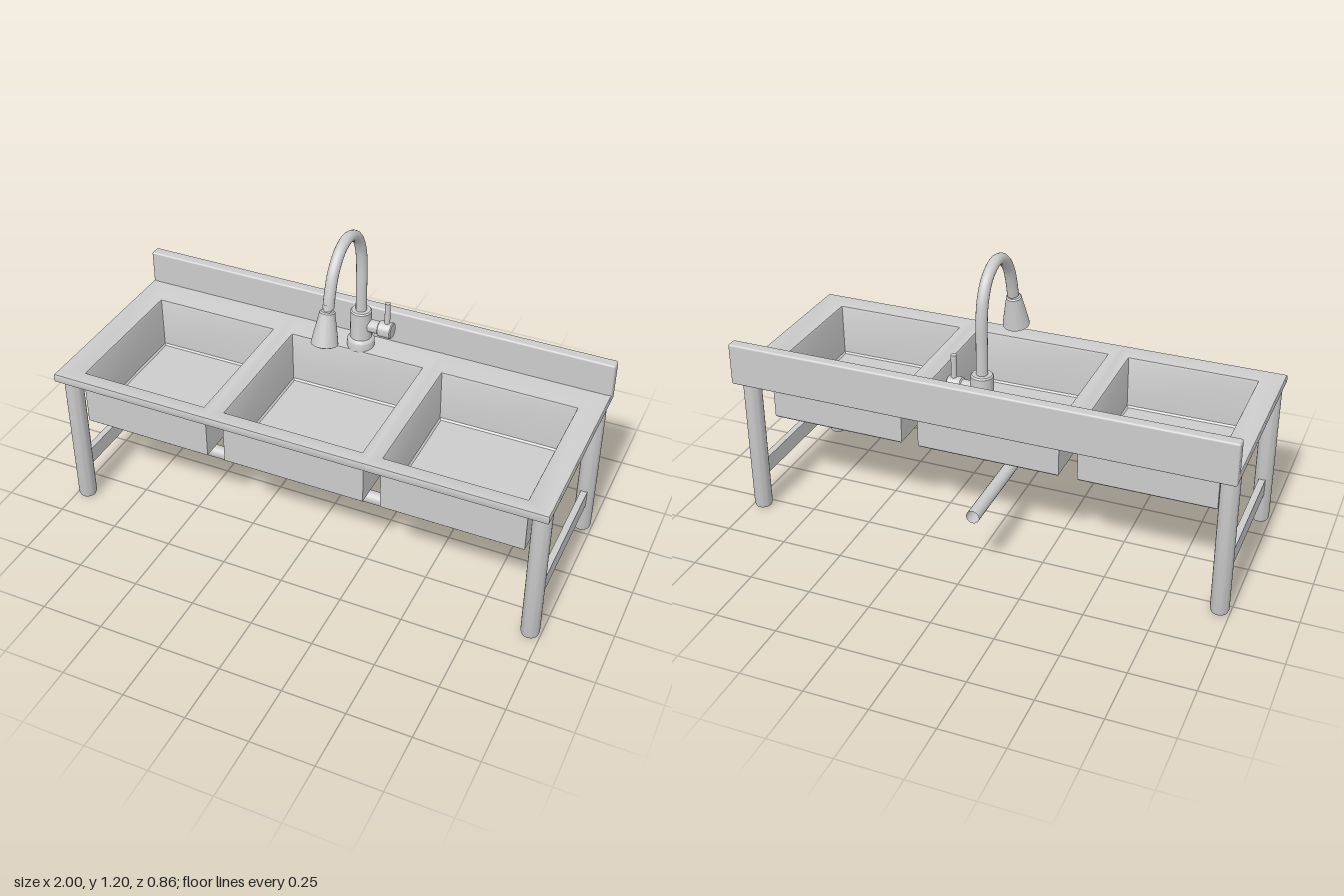
import * as THREE from 'three';
import { toCreasedNormals } from 'three/addons/utils/BufferGeometryUtils.js';
import { RoundedBoxGeometry } from 'three/addons/geometries/RoundedBoxGeometry.js';

const metal = new THREE.MeshStandardMaterial({ color: 0xcccccc });
const metalTwoSided = new THREE.MeshStandardMaterial({ color: 0xcccccc, side: THREE.DoubleSide });
const V = (x, y, z) => new THREE.Vector3(x, y, z);

function add(parent, name, geometry, x = 0, y = 0, z = 0, material = metal) {
  const mesh = new THREE.Mesh(geometry, material);
  mesh.name = name;
  mesh.position.set(x, y, z);
  parent.add(mesh);
  return mesh;
}

// Solid of revolution from [radius, y] pairs, with crisp edges kept
function turned(profile, segments = 28) {
  const points = profile.map(([r, y]) => new THREE.Vector2(r, y));
  return toCreasedNormals(new THREE.LatheGeometry(points, segments), 0.6);
}

// Straight runs joined by rounded elbows
function pipe(points, radius, bend) {
  const path = new THREE.CurvePath();
  let from = points[0];
  for (let i = 1; i < points.length - 1; i++) {
    const p = points[i];
    const a = p.clone().add(points[i - 1].clone().sub(p).setLength(bend));
    const b = p.clone().add(points[i + 1].clone().sub(p).setLength(bend));
    path.add(new THREE.LineCurve3(from, a));
    path.add(new THREE.QuadraticBezierCurve3(a, p, b));
    from = b;
  }
  path.add(new THREE.LineCurve3(from, points[points.length - 1]));
  return new THREE.TubeGeometry(path, 120, radius, 18);
}

// Closed solid through rectangular rings [x0, x1, z0, z1, y]
function loftRects(rings) {
  const positions = [];
  const index = [];
  rings.forEach(([x0, x1, z0, z1, y]) => positions.push(x0, y, z1, x1, y, z1, x1, y, z0, x0, y, z0));
  for (let r = 0; r < rings.length - 1; r++) {
    for (let i = 0; i < 4; i++) {
      const a = r * 4 + i, b = r * 4 + (i + 1) % 4;
      index.push(a, b, b + 4, a, b + 4, a + 4);
    }
  }
  const e = (rings.length - 1) * 4;
  index.push(0, 3, 2, 0, 2, 1, e, e + 1, e + 2, e, e + 2, e + 3);
  const g = new THREE.BufferGeometry();
  g.setAttribute('position', new THREE.Float32BufferAttribute(positions, 3));
  g.setIndex(index);
  return toCreasedNormals(g, 0.6);
}

// One bay: sloped worktop, opening and hollow bowl
function bay(cx0, cx1, hx0, hx1) {
  const cell = (inset, y) => [
    cx0 + (cx0 === -1 ? inset : 0), cx1 - (cx1 === 1 ? inset : 0), -0.35, 0.432 - inset, y];
  const bowl = (grow, y) => [hx0 - grow, hx1 + grow, -0.218 - grow, 0.358 + grow, y];
  return loftRects([
    bowl(0.002, 0.39), bowl(0.008, 0.396), bowl(0.008, 0.598),
    cell(0.008, 0.598), cell(0.002, 0.6), cell(0, 0.606),
    cell(0, 0.627), cell(0.002, 0.633), cell(0.008, 0.635),
    bowl(0.008, 0.624), bowl(0.003, 0.622), bowl(0, 0.614),
    bowl(-0.003, 0.41), bowl(-0.01, 0.403),
  ]);
}

export function createModel() {
  const model = new THREE.Group();
  model.name = 'tripleSink';

  // Worktop with three bowls
  const bays = [
    [-1, -0.335, -0.9, -0.38],
    [-0.335, 0.315, -0.29, 0.272],
    [0.315, 1, 0.357, 0.9],
  ];
  bays.forEach((b, i) => add(model, ['rightBowl', 'middleBowl', 'leftBowl'][i], bay(...b)));
  add(model, 'backsplash', new RoundedBoxGeometry(2, 0.172, 0.046, 3, 0.008), 0, 0.684, -0.353);

  // Legs with rounded feet, and a rail on each side
  const leg = turned([[0, 0], [0.024, 0], [0.032, 0.004], [0.036, 0.016], [0.036, 0.605], [0, 0.605]]);
  for (const side of [-1, 1]) {
    const name = side > 0 ? 'left' : 'right';
    add(model, name + 'FrontLeg', leg, side * 0.96, 0, 0.364);
    add(model, name + 'BackLeg', leg, side * 0.96, 0, -0.292);
    add(model, name + 'Rail', new THREE.BoxGeometry(0.026, 0.07, 0.62), side * 0.96, 0.17, 0.036);
  }

  // Waste pipes
  const y = 0.27, z = 0.192;
  add(model, 'wasteManifold', pipe([
    V(-0.665, 0.395, z), V(-0.665, y, z), V(0.595, y, z), V(0.595, 0.395, z),
  ], 0.026, 0.045), 0, 0, 0, metalTwoSided);
  add(model, 'drainPipe', pipe([
    V(-0.035, 0.395, z), V(-0.035, y, z), V(-0.035, y, -0.432),
  ], 0.026, 0.04), 0, 0, 0, metalTwoSided);

  // Tap
  const tap = new THREE.Group();
  tap.name = 'tap';
  tap.position.set(-0.01, 0, -0.268);
  model.add(tap);
  add(tap, 'tapBody', turned([
    [0, 0.62], [0.055, 0.62], [0.055, 0.655], [0.049, 0.664], [0.043, 0.667],
    [0.043, 0.784], [0.038, 0.79], [0, 0.79],
  ]));
  const neck = new THREE.CatmullRomCurve3([
    [0, 0.78], [0, 0.9], [0, 1.0], [0.014, 1.08], [0.055, 1.147], [0.13, 1.181],
    [0.2, 1.165], [0.26, 1.105], [0.292, 1.03], [0.306, 0.975],
  ].map(([dz, h]) => V(0, h, dz)));
  add(tap, 'gooseneck', new THREE.TubeGeometry(neck, 48, 0.022, 16), 0, 0, 0, metalTwoSided);

  // Spray head, its axis tilted forward
  const head = add(tap, 'sprayHead', turned([
    [0, 0], [0.046, 0], [0.052, 0.004], [0.047, 0.035], [0.032, 0.115], [0.03, 0.13],
    [0.025, 0.135], [0.017, 0.136], [0.017, 0.16], [0, 0.16],
  ]), 0, 0.836, 0.342);
  head.rotation.x = -0.21;

  // Side valve and lever
  const valve = add(tap, 'valve', turned([
    [0, 0], [0.026, 0], [0.026, 0.042], [0.033, 0.046], [0.033, 0.096], [0.029, 0.1], [0, 0.1],
  ]), 0.036, 0.724, 0);
  valve.rotation.z = -Math.PI / 2;
  add(tap, 'lever', new THREE.CylinderGeometry(0.011, 0.011, 0.12, 16), 0.112, 0.787, 0);

  return model;
}
